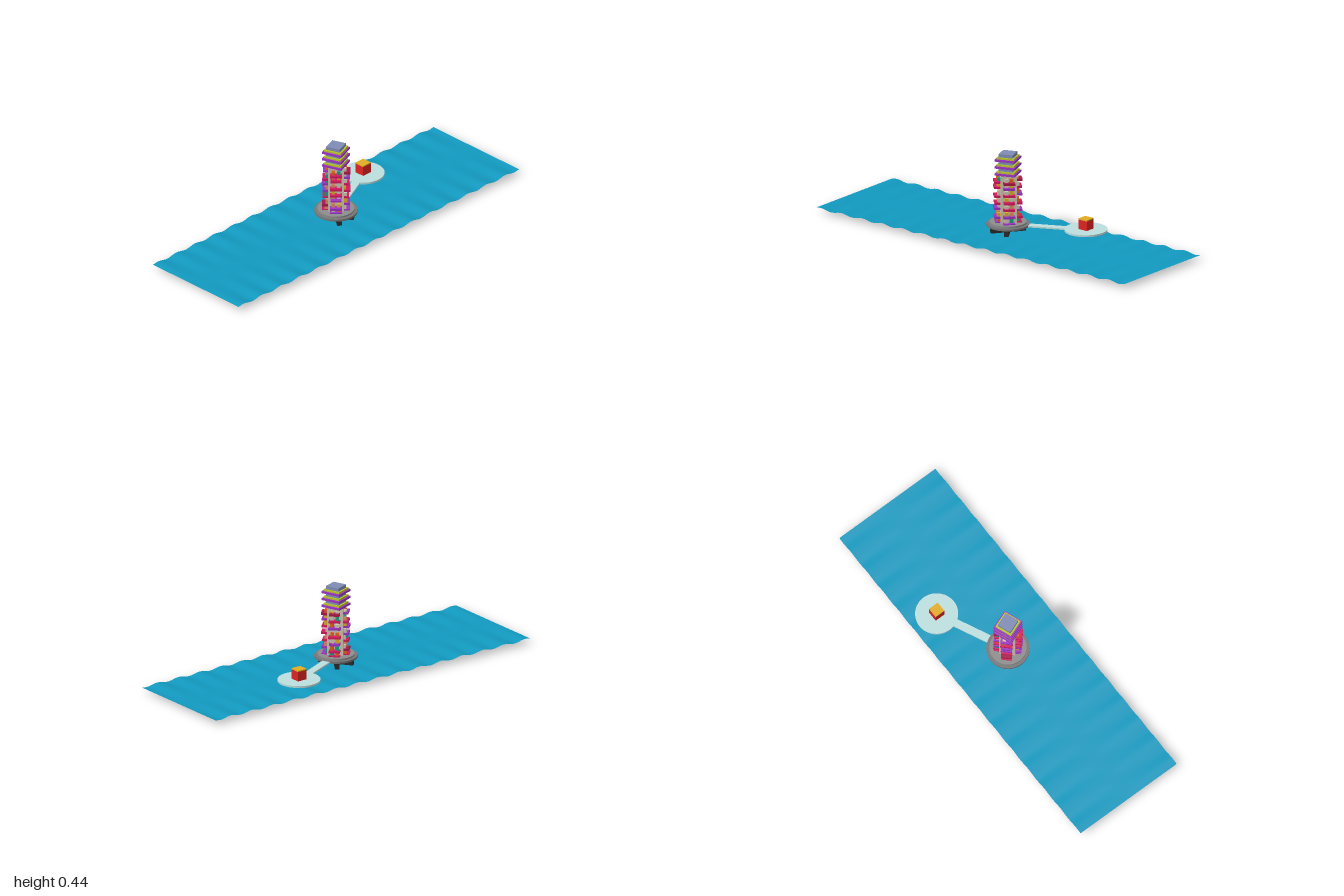
import * as THREE from 'three';

const mat = (color, extra = {}) => new THREE.MeshStandardMaterial({ color, ...extra });
const M = {
  water: mat(0x1199bf, { side: THREE.DoubleSide }), dark: mat(0x2b2b2b), grey: mat(0x777777), paleGrey: mat(0x8c8c8c),
  glass: mat(0xbcdedd), red: mat(0xdd2222), gold: mat(0xdfac22), beige: mat(0xcfc5b0), blue: mat(0x7f8bb5),
  lime: mat(0xb9c22c), purple: mat(0x9b34c4), magenta: mat(0xd41a5e), crimson: mat(0xa81848),
  orange: mat(0xe0601c), salmon: mat(0xe08a68), teal: mat(0x18a080),
};

function add(parent, name, geometry, material, x = 0, y = 0, z = 0, turn = 0) {
  const mesh = new THREE.Mesh(geometry, material);
  mesh.name = name;
  mesh.position.set(x, y, z);
  mesh.rotation.y = turn;
  parent.add(mesh);
  return mesh;
}

// Box and disc given by their bottom and top heights
const box = (parent, name, m, w, d, y0, y1, x = 0, z = 0, turn = 0) =>
  add(parent, name, new THREE.BoxGeometry(w, y1 - y0, d), m, x, (y0 + y1) / 2, z, turn);
const disc = (parent, name, m, r, y0, y1, x = 0, z = 0) =>
  add(parent, name, new THREE.CylinderGeometry(r, r, y1 - y0, 48), m, x, (y0 + y1) / 2, z);

function seeded(seed) {
  return () => (seed = (seed * 16807) % 2147483647) / 2147483647;
}

// Water sheet: ripples grow from the centre line to the long edges
function makeWater() {
  const g = new THREE.PlaneGeometry(0.612, 2, 16, 180).rotateX(-Math.PI / 2);
  const p = g.attributes.position;
  for (let i = 0; i < p.count; i++) {
    const rise = Math.abs(p.getX(i)) / 0.306;
    p.setY(i, 0.025 + 0.005 * rise * Math.sin(p.getZ(i) * Math.PI * 15));
  }
  g.computeVertexNormals();
  return g;
}

// Four faces of stacked bays and balconies around the shaft
function addBalconies(tower) {
  const rand = seeded(4711);
  const pick = (list) => list[Math.floor(rand() * list.length)];
  const half = 0.041;
  for (let f = 0; f < 4; f++) {
    const face = new THREE.Group();
    face.name = 'balconyFace';
    face.rotation.y = Math.PI / 4 + f * Math.PI / 2;
    tower.add(face);
    for (let i = 0; i < 7; i++) {
      const y = 0.074 + i * 0.0375 + (i > 0 && rand() < 0.35 ? -0.01 : 0);
      const reach = 0.025 + 0.008 * rand();
      const width = 0.052 + 0.01 * rand();
      box(face, 'balcony', pick([M.magenta, M.magenta, M.purple, M.crimson]),
        width, reach, y, y + 0.011, 0, half + reach / 2);
      // Two coloured bays stand on every balcony
      for (const side of [-1, 1]) {
        const depth = 0.01 + 0.008 * rand();
        const bayTop = Math.min(y + 0.027 + 0.01 * rand(), 0.318);
        box(face, 'windowBay', pick([M.orange, M.gold, M.salmon, M.beige, M.beige, M.teal]),
          0.018, depth, y + 0.011, bayTop, side * 0.013, half + depth / 2);
      }
    }
  }
}

export function createModel() {
  const model = new THREE.Group();
  model.name = 'riverTower';

  add(model, 'water', makeWater(), M.water);

  // Crossed foundation piers
  for (const s of [-1, 1]) box(model, 'foundationPier', M.dark, 0.185, 0.024, 0, 0.06, 0, 0, s * 0.576);

  // Round deck
  disc(model, 'deckCollar', M.grey, 0.04, 0.053, 0.06);
  disc(model, 'deck', M.grey, 0.11, 0.06, 0.071);
  disc(model, 'deckStep', M.paleGrey, 0.094, 0.071, 0.08);

  // Landing pad, its bridge and the small house
  const px = -0.173, pz = -0.366;
  disc(model, 'landingPad', M.glass, 0.109, 0.06, 0.07, px, pz);
  box(model, 'bridge', M.glass, 0.042, 0.25, 0.061, 0.069, px * 0.5, pz * 0.5, Math.atan2(px, pz));
  box(model, 'house', M.red, 0.055, 0.055, 0.07, 0.12, px, pz);
  box(model, 'houseRoof', M.gold, 0.055, 0.055, 0.12, 0.126, px, pz);

  // Tower shaft, set corner-on to the front
  const tower = new THREE.Group();
  tower.name = 'tower';
  model.add(tower);
  box(tower, 'shaft', M.beige, 0.082, 0.082, 0.08, 0.332, 0, 0, Math.PI / 4);
  addBalconies(tower);

  // Turned crown of three stepped storeys
  const crown = new THREE.Group();
  crown.name = 'crown';
  crown.rotation.y = 0.355;
  tower.add(crown);
  for (let i = 0; i < 3; i++) {
    const y = 0.332 + i * 0.037;
    box(crown, 'crownLedge', M.purple, 0.106, 0.106, y, y + 0.011);
    box(crown, 'crownTrim', M.lime, 0.093, 0.093, y + 0.011, y + 0.02);
    box(crown, 'crownStorey', M.blue, 0.0746, 0.0746, y + 0.02, y + 0.037);
  }
  return model;
}
